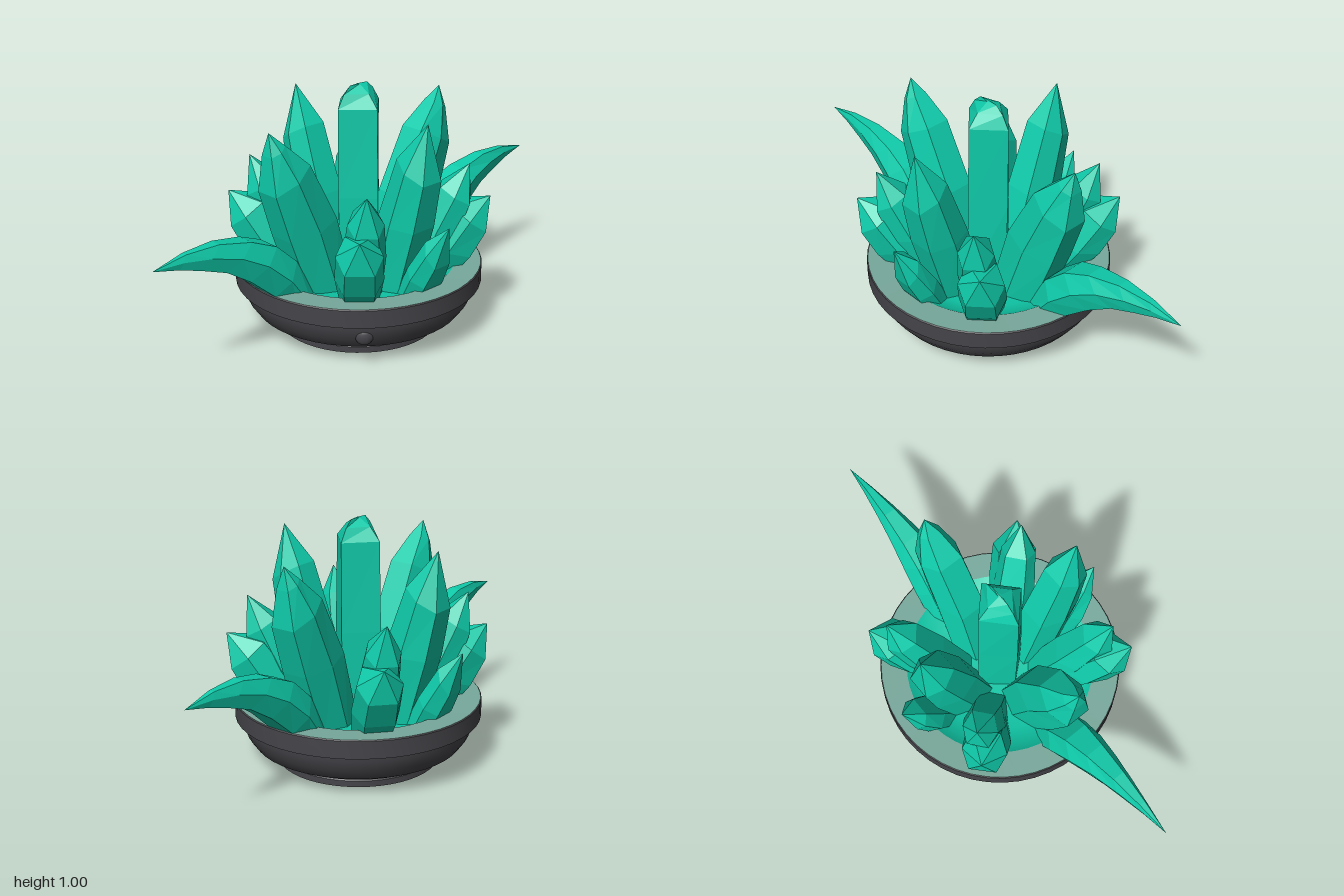
import * as THREE from 'three';
import { toCreasedNormals } from 'three/addons/utils/BufferGeometryUtils.js';

const mat = (name, color) => {
  const m = new THREE.MeshStandardMaterial({ color });
  m.name = name;
  return m;
};

// Faceted solid through a stack of point loops, closed by a tip
function loft(rings, tip) {
  const pos = [];
  const tri = (...pts) => pts.forEach(p => pos.push(...p));
  const n = rings[0].length;
  rings.forEach((ring, i) => {
    const next = rings[i + 1];
    for (let j = 0; j < n; j++) {
      const k = (j + 1) % n;
      if (next) {
        tri(ring[j], ring[k], next[k]);
        tri(ring[j], next[k], next[j]);
      } else tri(ring[j], ring[k], tip);
    }
  });
  const g = new THREE.BufferGeometry();
  g.setAttribute('position', new THREE.Float32BufferAttribute(pos, 3));
  g.computeVertexNormals();
  return g;
}

// Six-sided section: inner radius and height, outer radius and height, half width
function hexRing([ri, yi, ro, yo, w]) {
  const rm = (ri + ro) / 2, ym = (yi + yo) / 2, f = w * 0.62;
  return [[ro, yo, f], [ro, yo, -f], [rm, ym, -w], [ri, yi, -f], [ri, yi, f], [rm, ym, w]];
}
const shard = (sections, tip) => loft(sections.map(hexRing), [tip[0], tip[1], 0]);

// Four-sided section
const diamond = ([y, x, z]) => [[x, y, 0], [0, y, -z], [-x, y, 0], [0, y, z]];

export function createModel() {
  const model = new THREE.Group();
  const stone = mat('dark stone', 0x454449);
  const rimTop = mat('pale rim', 0x78a99c);
  const crystal = mat('teal crystal', 0x0fcbaa);

  const add = (name, geometry, material) => {
    const mesh = new THREE.Mesh(geometry, material);
    mesh.name = name;
    model.add(mesh);
    return mesh;
  };
  const lathe = (name, profile, material) => add(name, toCreasedNormals(
    new THREE.LatheGeometry(profile.map(p => new THREE.Vector2(...p)), 48), 0.5), material);

  // Bowl with foot and thick rim
  lathe('bowl', [[0.001, 0], [0.33, 0], [0.33, 0.025], [0.322, 0.035], [0.37, 0.05], [0.425, 0.078],
    [0.455, 0.12], [0.47, 0.165], [0.472, 0.192], [0.5, 0.192], [0.5, 0.264], [0.496, 0.268]], stone);
  lathe('rimTop', [[0.496, 0.268], [0.39, 0.264]], rimTop);
  lathe('crystalBed', [[0.39, 0.264], [0.35, 0.235], [0.28, 0.212], [0.15, 0.2], [0.001, 0.197]], crystal);

  // Small lump on the side of the bowl
  const lump = add('bowlLump', new THREE.SphereGeometry(0.035, 10, 8), stone);
  lump.position.set(0.345, 0.135, 0.297);
  lump.rotation.y = Math.atan2(0.345, 0.297);
  lump.scale.z = 0.5;

  // Central column with a ridged top
  add('centreCrystal', loft([[0.18, 0.115, 0.1], [0.55, 0.112, 0.11], [0.915, 0.104, 0.11],
    [0.968, 0.058, 0.078], [0.998, 0.006, 0.045]].map(diamond), [0, 1, 0]), crystal);

  // Surrounding crystals, each shape repeated by direction in degrees from +x toward +z
  const diagonals = a => [a, 180 - a, 180 + a, -a];
  const kinds = [
    ['tallSideCrystal', [0, 180],
      [[0.08, 0.18, 0.27, 0.18, 0.085], [0.165, 0.5, 0.362, 0.49, 0.092],
        [0.262, 0.77, 0.402, 0.69, 0.08]], [0.375, 0.92]],
    ['tallFrontBackCrystal', [90, -90],
      [[0.08, 0.18, 0.3, 0.18, 0.095], [0.17, 0.5, 0.405, 0.46, 0.092],
        [0.3, 0.75, 0.47, 0.66, 0.085], [0.4, 0.845, 0.468, 0.81, 0.045]], [0.457, 0.9]],
    ['middleCrystal', diagonals(39.5),
      [[0.11, 0.18, 0.3, 0.18, 0.075], [0.23, 0.42, 0.39, 0.38, 0.085],
        [0.33, 0.6, 0.445, 0.53, 0.07]], [0.44, 0.69]],
    ['lowDiagonalCrystal', diagonals(43),
      [[0.17, 0.18, 0.35, 0.18, 0.075], [0.27, 0.36, 0.45, 0.3, 0.095],
        [0.38, 0.515, 0.51, 0.41, 0.09]], [0.525, 0.545]],
    ['lowSideCrystal', [0, 180],
      [[0.25, 0.18, 0.36, 0.18, 0.075], [0.33, 0.34, 0.42, 0.28, 0.085],
        [0.41, 0.47, 0.462, 0.37, 0.065]], [0.495, 0.54]],
    ['curvedSpike', [90, -90],
      [[0.28, 0.19, 0.38, 0.17, 0.095], [0.38, 0.38, 0.49, 0.265, 0.095],
        [0.47, 0.465, 0.6, 0.36, 0.082], [0.58, 0.512, 0.7, 0.425, 0.062],
        [0.72, 0.54, 0.8, 0.46, 0.04], [0.86, 0.538, 0.89, 0.487, 0.02]], [1, 0.51]],
  ];
  for (const [name, angles, sections, tip] of kinds) {
    const geometry = shard(sections, tip);
    for (const a of angles)
      add(name, geometry, crystal).rotation.y = -THREE.MathUtils.degToRad(a);
  }
  return model;
}
